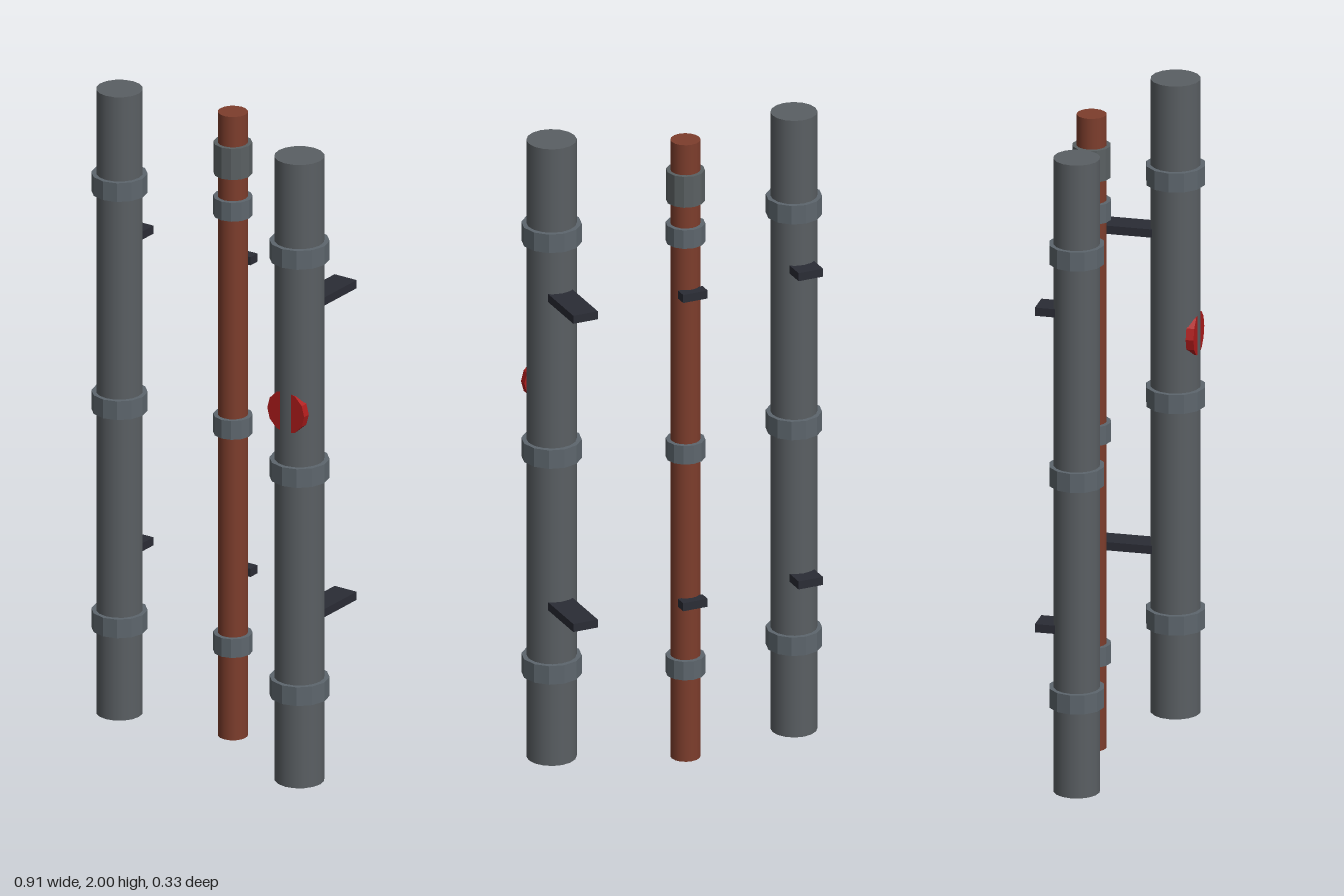
import * as THREE from 'three';

const mat = (color, flatShading = false) => new THREE.MeshStandardMaterial({ color, flatShading });

export function createModel() {
  const model = new THREE.Group();
  const steel = mat(0x5a5f63);
  const rust = mat(0x7d3d2c);
  const collarMat = mat(0x5d666d, true);
  const couplingMat = mat(0x5a6062, true);
  const bracketMat = mat(0x2a2c35);
  const red = mat(0xb01c1c, true);

  const add = (parent, name, geometry, material, x, y, z) => {
    const mesh = new THREE.Mesh(geometry, material);
    mesh.name = name;
    mesh.position.set(x, y, z);
    parent.add(mesh);
    return mesh;
  };

  const wallZ = -0.165; // back end of all brackets
  const pipes = [
    { name: 'rightPipe', x: -0.373, z: -0.047, r: 0.07, collar: 0.084, material: steel },
    { name: 'middlePipe', x: 0.005, z: -0.095, r: 0.045, collar: 0.059, material: rust },
    { name: 'leftPipe', x: 0.365, z: 0.073, r: 0.075, collar: 0.09, material: steel },
  ];

  for (const p of pipes) {
    const group = new THREE.Group();
    group.name = p.name;
    group.position.set(p.x, 0, p.z);
    model.add(group);

    add(group, 'pipe', new THREE.CylinderGeometry(p.r, p.r, 2, 16), p.material, 0, 1, 0);

    // Joint collars
    for (const y of [0.3, 1, 1.7]) {
      add(group, 'collar', new THREE.CylinderGeometry(p.collar, p.collar, 0.06, 12), collarMat, 0, y, 0);
    }

    // Wall brackets, running from inside the pipe to the wall plane
    const front = -p.r * 0.75;
    const back = wallZ - p.z;
    for (const y of [0.517, 1.517]) {
      add(group, 'bracket', new THREE.BoxGeometry(0.08, 0.026, front - back), bracketMat,
        0, y, (front + back) / 2);
    }

    // Coupling near the top of the thin pipe
    if (p.name === 'middlePipe') {
      add(group, 'coupling', new THREE.CylinderGeometry(0.058, 0.058, 0.1, 12), couplingMat, 0, 1.853, 0);
    }

    // Red valve disc set into the front of the large pipe
    if (p.name === 'leftPipe') {
      const disc = add(group, 'valveDisc', new THREE.CylinderGeometry(0.067, 0.067, 0.024, 12), red,
        0, 1.2, 0.059);
      disc.rotation.x = Math.PI / 2;
    }
  }

  return model;
}
